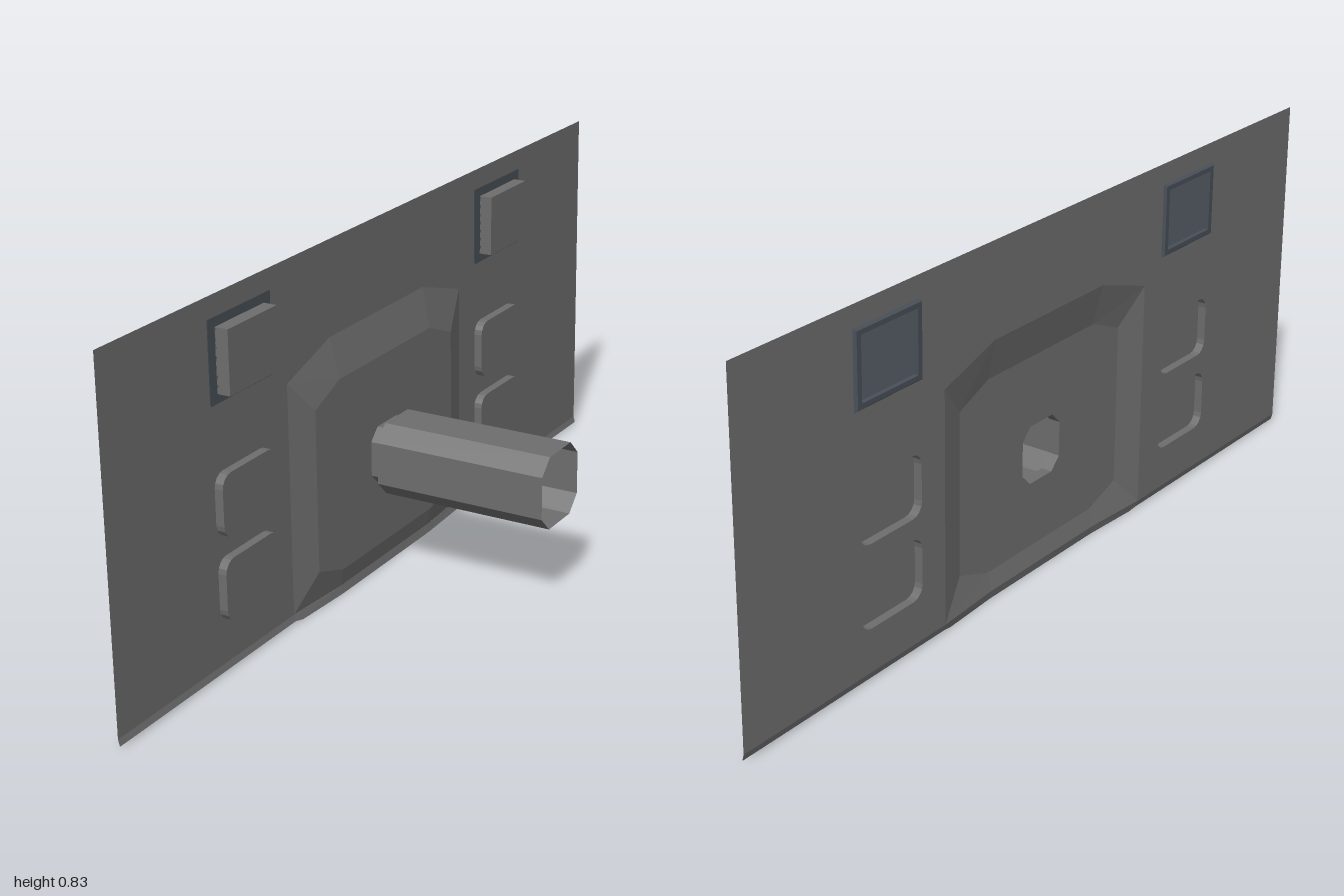
import * as THREE from 'three';

const grey = new THREE.MeshStandardMaterial({ color: 0x6e6e6e, side: THREE.DoubleSide, flatShading: true });
const blue = new THREE.MeshStandardMaterial({ color: 0x495058, side: THREE.DoubleSide, flatShading: true });

const PANEL_X = -0.228, RAISED_X = -0.208, HUB_Y = 0.285;

// Outlines are lists of [z, y]; at() lifts one to a given x as [x, y, z]
const at = (outline, x) => outline.map(([z, y]) => [x, y, z]);

// Rectangle with rounded corners
function roundRect(cz, cy, hz, hy, r, steps) {
  const pts = [];
  for (let c = 0; c < 4; c++) {
    const sz = c === 0 || c === 3 ? 1 : -1, sy = c < 2 ? 1 : -1;
    for (let i = 0; i <= steps; i++) {
      const a = (c + i / steps) * Math.PI / 2;
      pts.push([cz + sz * (hz - r) + r * Math.cos(a), cy + sy * (hy - r) + r * Math.sin(a)]);
    }
  }
  return pts;
}
const rect = (cz, cy, hz, hy) => [[cz + hz, cy + hy], [cz - hz, cy + hy], [cz - hz, cy - hy], [cz + hz, cy - hy]];

// Skin between successive rings of [x, y, z]
function loft(rings, closed = true) {
  const pos = [], n = rings[0].length;
  for (let k = 0; k + 1 < rings.length; k++) {
    for (let i = 0; i < (closed ? n : n - 1); i++) {
      const j = (i + 1) % n, a = rings[k], b = rings[k + 1];
      pos.push(...a[i], ...a[j], ...b[j], ...a[i], ...b[j], ...b[i]);
    }
  }
  const g = new THREE.BufferGeometry();
  g.setAttribute('position', new THREE.Float32BufferAttribute(pos, 3));
  g.computeVertexNormals();
  return g;
}

// Flat sheet facing +x with optional holes
function sheet(outline, x, holes = []) {
  const toV = (o) => o.map(([z, y]) => new THREE.Vector2(-z, y));
  const shape = new THREE.Shape(toV(outline));
  holes.forEach((h) => shape.holes.push(new THREE.Path(toV(h))));
  return new THREE.ShapeGeometry(shape).rotateY(Math.PI / 2).translate(x, 0, 0);
}

export function createModel() {
  const model = new THREE.Group();
  const add = (name, geometry, material = grey, parent = model) => {
    const mesh = new THREE.Mesh(geometry, material);
    mesh.name = name;
    parent.add(mesh);
    return mesh;
  };

  const pads = [], vents = [];
  for (const s of [1, -1]) {
    for (const y of [0.381, 0.191]) pads.push(roundRect(s * 0.545, y, 0.098, 0.071, 0.03, 4));
    vents.push(s * 0.545 - 0.004);
  }
  const ventY = 0.695;

  // Main panel, cut around the raised centre, pads and vents
  add('panel', sheet([
    [-1, 0.02], [-0.37, 0.02], [-0.37, 0.56], [-0.2, 0.613], [0.2, 0.613],
    [0.37, 0.56], [0.37, 0.02], [1, 0.02], [1, 0.832], [-1, 0.832],
  ], PANEL_X, [...pads, ...vents.map((z) => rect(z, ventY, 0.088, 0.072))]));

  // Curled lip along the bottom edge, lowest under the raised centre
  const lipZ = [-1, -0.37, -0.345, -0.195, 0.195, 0.345, 0.37, 1];
  const lipTop = lipZ.map((z) => [Math.abs(z) < 0.2 ? -0.217 : PANEL_X + 0.002 * (Math.abs(z) < 0.36), 0.02, z]);
  const lipLow = lipZ.map((z) => Math.abs(z) < 0.36
    ? [Math.abs(z) < 0.2 ? -0.213 : -0.221, 0, z] : [-0.224, 0.005, z]);
  add('bottomLip', loft([lipTop, lipLow], false));

  // Raised centre: sloped border and flat plate
  const outer = at([[0.37, 0.02], [0.37, 0.56], [0.2, 0.613], [-0.2, 0.613],
    [-0.37, 0.56], [-0.37, 0.02], [-0.195, 0.02], [0.195, 0.02]], PANEL_X);
  outer[6][0] = outer[7][0] = -0.217;
  const inner = [[0.295, 0.097], [0.295, 0.478], [0.195, 0.518], [-0.195, 0.518],
    [-0.295, 0.478], [-0.295, 0.097], [-0.195, 0.063], [0.195, 0.063]];
  add('raisedBorder', loft([outer, at(inner, RAISED_X)]));

  // Eight-sided open tube on a narrower neck
  const octagon = (h, c) => rect(0, HUB_Y, h, h).flatMap(([z, y], i) => {
    const dz = -Math.sign(z) * c, dy = -Math.sign(y - HUB_Y) * c;
    const pair = [[z, y + dy], [z + dz, y]];
    return i % 2 ? pair.reverse() : pair;
  });
  const neck = octagon(0.069, 0.028), tube = octagon(0.0855, 0.036);
  add('raisedPlate', sheet(inner, RAISED_X, [neck]));
  add('tube', loft([at(neck, RAISED_X), at(neck, -0.182), at(tube, -0.182), at(tube, 0.233)]));

  // Rounded pads, hollow from behind
  for (const p of pads) {
    const pad = new THREE.Group();
    pad.name = 'pad';
    model.add(pad);
    add('padWall', loft([at(p, PANEL_X), at(p, RAISED_X)]), grey, pad);
    add('padFace', sheet(p, RAISED_X), grey, pad);
  }

  // Vents: bevelled frame, steep slats and a closed box behind them
  for (const z of vents) {
    const vent = new THREE.Group();
    vent.name = 'vent';
    model.add(vent);
    const opening = rect(z, ventY, 0.087, 0.071);
    add('ventFrame', loft([
      at(opening, -0.222), at(rect(z, ventY, 0.11, 0.092), -0.222),
      at(rect(z, ventY, 0.1, 0.082), -0.234), at(opening, -0.234), at(opening, -0.222),
    ]), blue, vent);
    add('ventBoxWall', loft([at(opening, -0.222), at(opening, -0.191)]), grey, vent);
    add('ventBoxFace', sheet(opening, -0.191), grey, vent);
    for (let i = 0; i < 7; i++) {
      const slat = add('ventSlat', new THREE.BoxGeometry(0.018, 0.004, 0.174), blue, vent);
      slat.position.set(-0.223, ventY + (i - 3) * 0.02, z);
      slat.rotation.z = 1.2;
    }
  }
  return model;
}
